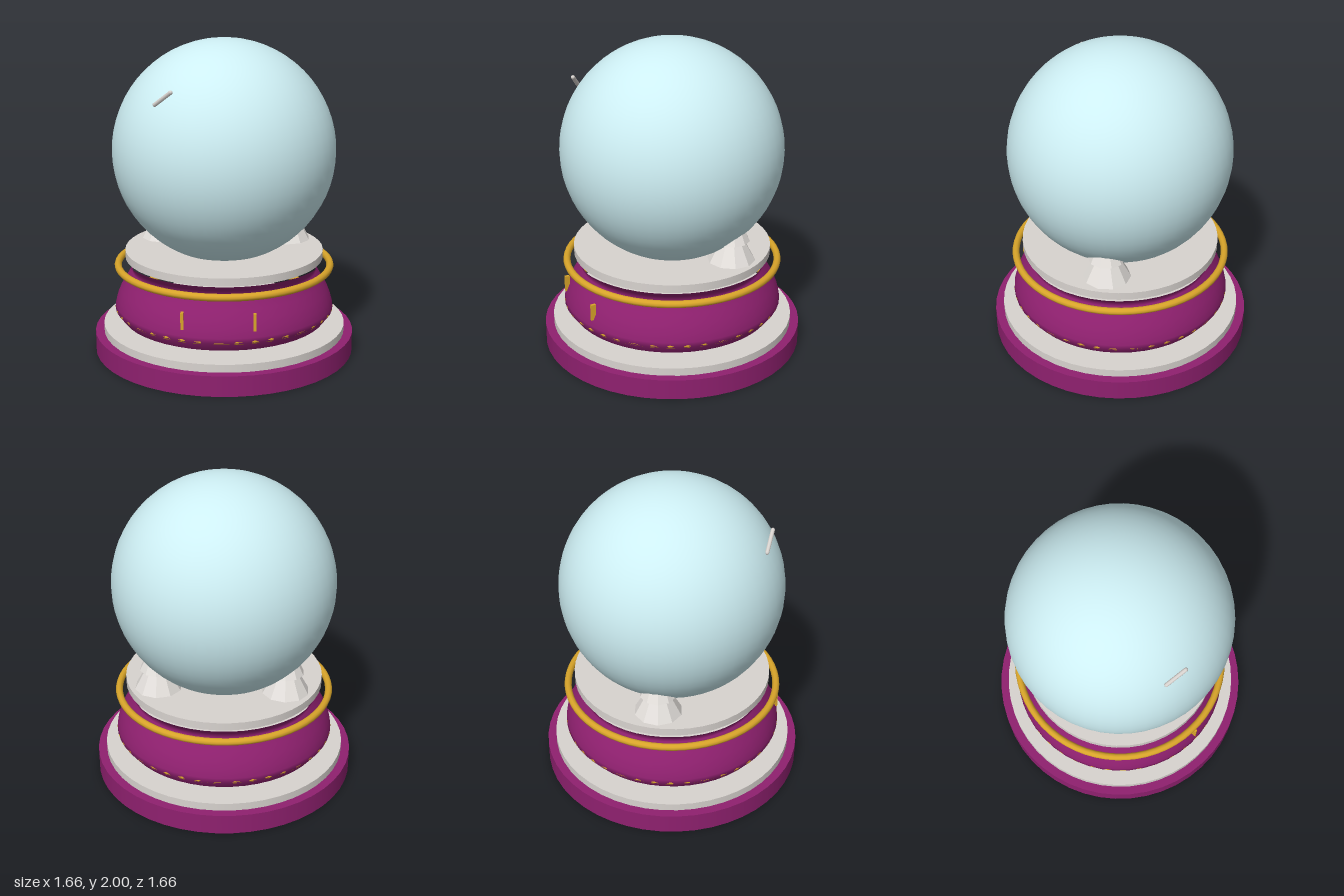
import * as THREE from 'three';

const mat = (color, opts = {}) => new THREE.MeshStandardMaterial({ color, ...opts });

export function createModel() {
  const root = new THREE.Group();
  root.name = 'snowGlobe';
  const plum = mat(0x8f206f);
  const cream = mat(0xd8d3cf);
  const gold = mat(0xd9a52a);
  const glass = mat(0xcdeef3);
  const snow = mat(0xe4e0dc, { flatShading: true });

  const add = (name, geometry, material, x = 0, y = 0, z = 0, parent = root) => {
    const mesh = new THREE.Mesh(geometry, material);
    mesh.name = name;
    mesh.position.set(x, y, z);
    parent.add(mesh);
    return mesh;
  };
  const disc = (name, r, y0, y1, material) =>
    add(name, new THREE.CylinderGeometry(r, r, y1 - y0, 48), material, 0, (y0 + y1) / 2, 0);
  const ring = (name, r, tube, y, segments) =>
    add(name, new THREE.TorusGeometry(r, tube, 10, segments), gold, 0, y, 0).rotateX(Math.PI / 2);

  // Stepped foot
  disc('foot', 0.83, 0, 0.13, plum);
  disc('footStep', 0.775, 0.13, 0.18, cream);

  // Waisted pedestal: smooth side between flat caps
  const profile = [
    [0.655, 0.22], [0.7, 0.28], [0.697, 0.31], [0.685, 0.355], [0.662, 0.41],
    [0.63, 0.465], [0.59, 0.53], [0.588, 0.55], [0.61, 0.58], [0.648, 0.617],
  ].map(([r, y]) => new THREE.Vector2(r, y));
  add('pedestal', new THREE.LatheGeometry(profile, 48), plum);
  add('pedestalUnderside', new THREE.CircleGeometry(0.655, 48), plum, 0, 0.22, 0).rotateX(Math.PI / 2);

  // Gold trim, the lower band almost sunk into the pedestal
  ring('upperRing', 0.677, 0.023, 0.563, 64);
  ring('lowerRing', 0.681, 0.019, 0.285, 40);
  for (const side of [-1, 1]) {
    add(side > 0 ? 'leftPlaqueBar' : 'rightPlaqueBar',
      new THREE.BoxGeometry(0.018, 0.105, 0.03), gold, side * 0.217, 0.402, 0.645);
  }

  // Collar and globe
  disc('collar', 0.63, 0.615, 0.665, cream);
  add('globe', new THREE.SphereGeometry(0.7, 48, 32), glass, 0, 1.3, 0);

  // Tiered trees, mostly enclosed by the globe
  const tiers = [[0.15, 0.665, 0.28], [0.115, 0.795, 0.24], [0.08, 0.92, 0.2]];
  for (const side of [-1, 1]) {
    const tree = new THREE.Group();
    tree.name = side > 0 ? 'leftTree' : 'rightTree';
    tree.position.set(side * 0.4, 0, -0.215);
    for (const [r, y, h] of tiers) {
      add('treeTier', new THREE.ConeGeometry(r, h, 10), snow, 0, y + h / 2, 0, tree);
    }
    root.add(tree);
  }

  // Slim glint resting on the globe
  const a = new THREE.Vector3(-0.38, 1.67, 0.465);
  const b = new THREE.Vector3(-0.28, 1.755, 0.535);
  const glint = add('glint', new THREE.CapsuleGeometry(0.013, a.distanceTo(b), 4, 8), cream);
  glint.position.copy(a).lerp(b, 0.5);
  glint.quaternion.setFromUnitVectors(new THREE.Vector3(0, 1, 0), b.clone().sub(a).normalize());

  return root;
}
